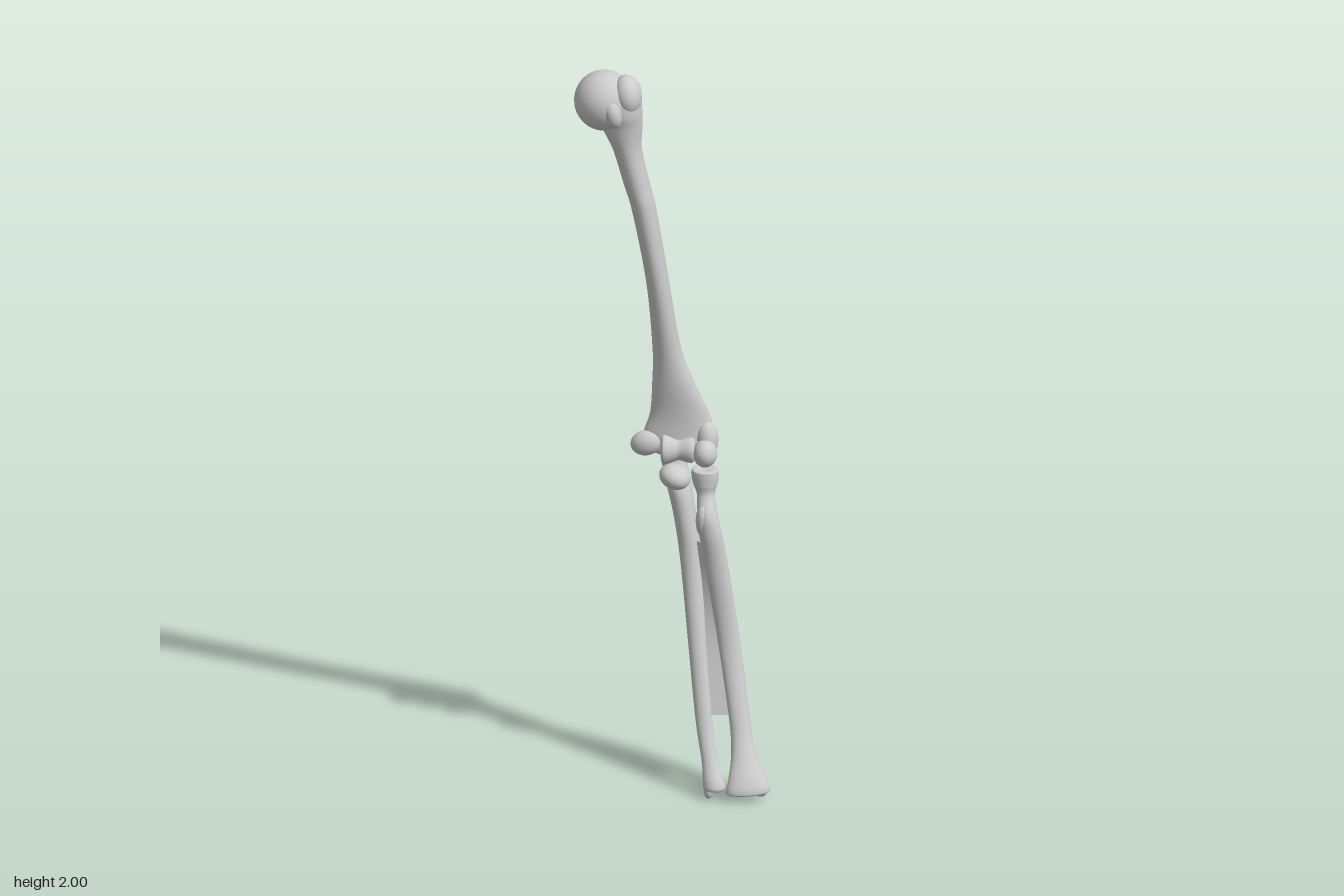
import * as THREE from 'three';

const V = (x, y, z) => new THREE.Vector3(x, y, z);

// Smooth tube through sections [x, y, z, halfWidth, halfDepth, turn], listed from top to bottom
function loft(sections, rings = 60, sides = 24) {
  const centre = new THREE.CatmullRomCurve3(sections.map(s => V(s[0], s[1], s[2])), false, 'catmullrom');
  const size = new THREE.CatmullRomCurve3(sections.map(s => V(s[3], s[4], s[5] || 0)), false, 'catmullrom');
  const pos = [], index = [];
  for (let i = 0; i <= rings; i++) {
    const c = centre.getPoint(i / rings), r = size.getPoint(i / rings);
    const rx = Math.max(r.x, 0.0005), rz = Math.max(r.y, 0.0005);
    const cs = Math.cos(r.z), sn = Math.sin(r.z);
    for (let j = 0; j < sides; j++) {
      const t = j / sides * Math.PI * 2, u = Math.cos(t) * rx, w = Math.sin(t) * rz;
      pos.push(c.x + u * cs + w * sn, c.y, c.z - u * sn + w * cs);
      if (i === rings) continue;
      const a = i * sides + j, c2 = i * sides + (j + 1) % sides;
      index.push(a, c2, a + sides, c2, c2 + sides, a + sides);
    }
  }
  const g = new THREE.BufferGeometry();
  g.setAttribute('position', new THREE.Float32BufferAttribute(pos, 3));
  g.setIndex(index);
  g.computeVertexNormals();
  return g;
}

export function createModel() {
  const bone = new THREE.MeshStandardMaterial({ color: 0xcccccc, side: THREE.DoubleSide });
  bone.name = 'bone grey';
  const model = new THREE.Group();
  model.name = 'armBones';

  const group = name => {
    const g = new THREE.Group();
    g.name = name;
    model.add(g);
    return g;
  };
  const add = (parent, name, geometry) => {
    const m = new THREE.Mesh(geometry, bone);
    m.name = name;
    parent.add(m);
    return m;
  };
  // Rounded knob: centre, half sizes, tilt about z and turn about y
  const knob = (parent, name, p, s, tilt = 0, turn = 0) => {
    const m = add(parent, name, new THREE.SphereGeometry(1, 28, 18));
    m.position.set(...p);
    m.scale.set(...s);
    m.rotation.set(0, turn, tilt);
    return m;
  };

  // Upper arm bone
  const upper = group('upperArmBone');
  add(upper, 'upperShaft', loft([
    [-0.13, 1.975, -0.03, 0.001, 0.001],
    [-0.13, 1.965, -0.03, 0.040, 0.045],
    [-0.137, 1.90, -0.03, 0.054, 0.058],
    [-0.136, 1.85, -0.034, 0.054, 0.052],
    [-0.122, 1.78, -0.038, 0.038, 0.047],
    [-0.098, 1.68, -0.042, 0.034, 0.045],
    [-0.078, 1.60, -0.045, 0.032, 0.044],
    [-0.045, 1.40, -0.058, 0.030, 0.042],
    [-0.022, 1.20, -0.080, 0.037, 0.039, 0.1],
    [-0.006, 1.10, -0.088, 0.054, 0.036, 0.12],
    [0.010, 1.01, -0.095, 0.076, 0.031, 0.1],
    [0.010, 0.95, -0.092, 0.093, 0.028, 0.05],
    [0.012, 0.915, -0.085, 0.085, 0.026],
    [0.015, 0.895, -0.08, 0.06, 0.018],
    [0.015, 0.89, -0.08, 0.001, 0.001]], 100, 28));
  knob(upper, 'ballHead', [-0.183, 1.917, -0.037], [0.079, 0.080, 0.081]);
  knob(upper, 'outerTubercle', [-0.122, 1.94, -0.02], [0.038, 0.055, 0.05], 0.1);
  knob(upper, 'frontTubercle', [-0.158, 1.905, 0.015], [0.026, 0.045, 0.034], 0.2);
  knob(upper, 'innerEpicondyle', [-0.075, 0.925, -0.078], [0.042, 0.034, 0.028], 0.25);
  knob(upper, 'outerEpicondyle', [0.083, 0.935, -0.088], [0.03, 0.05, 0.034]);
  knob(upper, 'outerCondyle', [0.08, 0.908, -0.056], [0.032, 0.037, 0.040]);

  // Spool-shaped joint surface
  const spool = add(upper, 'jointSpool', new THREE.LatheGeometry(
    new THREE.SplineCurve([[0.001, -0.048], [0.036, -0.044], [0.042, -0.034], [0.032, -0.008],
      [0.030, 0.004], [0.036, 0.03], [0.03, 0.042], [0.001, 0.046]]
      .map(p => new THREE.Vector2(...p))).getPoints(32), 28));
  spool.rotation.z = -Math.PI / 2;
  spool.position.set(0.01, 0.912, -0.072);

  // Inner forearm bone
  const inner = group('innerForearmBone');
  add(inner, 'innerShaft', loft([
    [-0.006, 0.920, -0.128, 0.001, 0.001],
    [-0.006, 0.912, -0.128, 0.027, 0.020],
    [-0.006, 0.885, -0.129, 0.035, 0.025],
    [-0.002, 0.845, -0.120, 0.034, 0.032],
    [0.010, 0.80, -0.098, 0.033, 0.040],
    [0.026, 0.72, -0.082, 0.030, 0.036],
    [0.044, 0.60, -0.058, 0.029, 0.028],
    [0.062, 0.40, -0.002, 0.024, 0.021],
    [0.083, 0.20, 0.055, 0.022, 0.018],
    [0.100, 0.10, 0.092, 0.021, 0.018],
    [0.112, 0.05, 0.113, 0.028, 0.024],
    [0.114, 0.028, 0.119, 0.027, 0.022],
    [0.112, 0.022, 0.120, 0.001, 0.001]], 80));
  knob(inner, 'coronoidLip', [0.0, 0.833, -0.072], [0.042, 0.032, 0.044], -0.35);
  knob(inner, 'innerStyloid', [0.099, 0.024, 0.122], [0.012, 0.022, 0.012]);

  // Outer forearm bone
  const outer = group('outerForearmBone');
  add(outer, 'outerShaft', loft([
    [0.080, 0.862, -0.053, 0.001, 0.001],
    [0.080, 0.866, -0.053, 0.030, 0.030],
    [0.080, 0.855, -0.053, 0.036, 0.034],
    [0.081, 0.828, -0.050, 0.033, 0.031],
    [0.083, 0.80, -0.042, 0.024, 0.024],
    [0.088, 0.755, -0.020, 0.026, 0.030],
    [0.097, 0.70, -0.010, 0.030, 0.026],
    [0.114, 0.60, -0.010, 0.031, 0.023],
    [0.146, 0.40, 0.004, 0.029, 0.019, 0.1],
    [0.177, 0.20, 0.055, 0.028, 0.021, 0.3],
    [0.188, 0.12, 0.087, 0.032, 0.023, 0.3],
    [0.200, 0.06, 0.117, 0.050, 0.027, 0.27],
    [0.203, 0.034, 0.127, 0.058, 0.027, 0.25],
    [0.202, 0.022, 0.128, 0.052, 0.023, 0.25],
    [0.201, 0.024, 0.128, 0.001, 0.001, 0.25]], 90));
  knob(outer, 'shaftTuberosity', [0.076, 0.735, -0.012], [0.018, 0.045, 0.024]);
  knob(outer, 'outerStyloid', [0.236, 0.03, 0.119], [0.019, 0.02, 0.016]);

  // Thin sheet joining the two forearm shafts
  const innerEdge = new THREE.CatmullRomCurve3([V(0.042, 0.66, -0.065), V(0.05, 0.55, -0.045),
    V(0.063, 0.4, -0.002), V(0.083, 0.21, 0.053)]);
  const outerEdge = new THREE.CatmullRomCurve3([V(0.103, 0.66, -0.012), V(0.122, 0.55, -0.008),
    V(0.146, 0.4, 0.004), V(0.172, 0.21, 0.052)]);
  const pos = [], index = [], n = 24;
  for (let i = 0; i <= n; i++) {
    pos.push(...innerEdge.getPoint(i / n).toArray(), ...outerEdge.getPoint(i / n).toArray());
    if (i < n) index.push(2 * i, 2 * i + 2, 2 * i + 1, 2 * i + 1, 2 * i + 2, 2 * i + 3);
  }
  const sheet = new THREE.BufferGeometry();
  sheet.setAttribute('position', new THREE.Float32BufferAttribute(pos, 3));
  sheet.setIndex(index);
  sheet.computeVertexNormals();
  add(model, 'forearmMembrane', sheet);

  return model;
}
